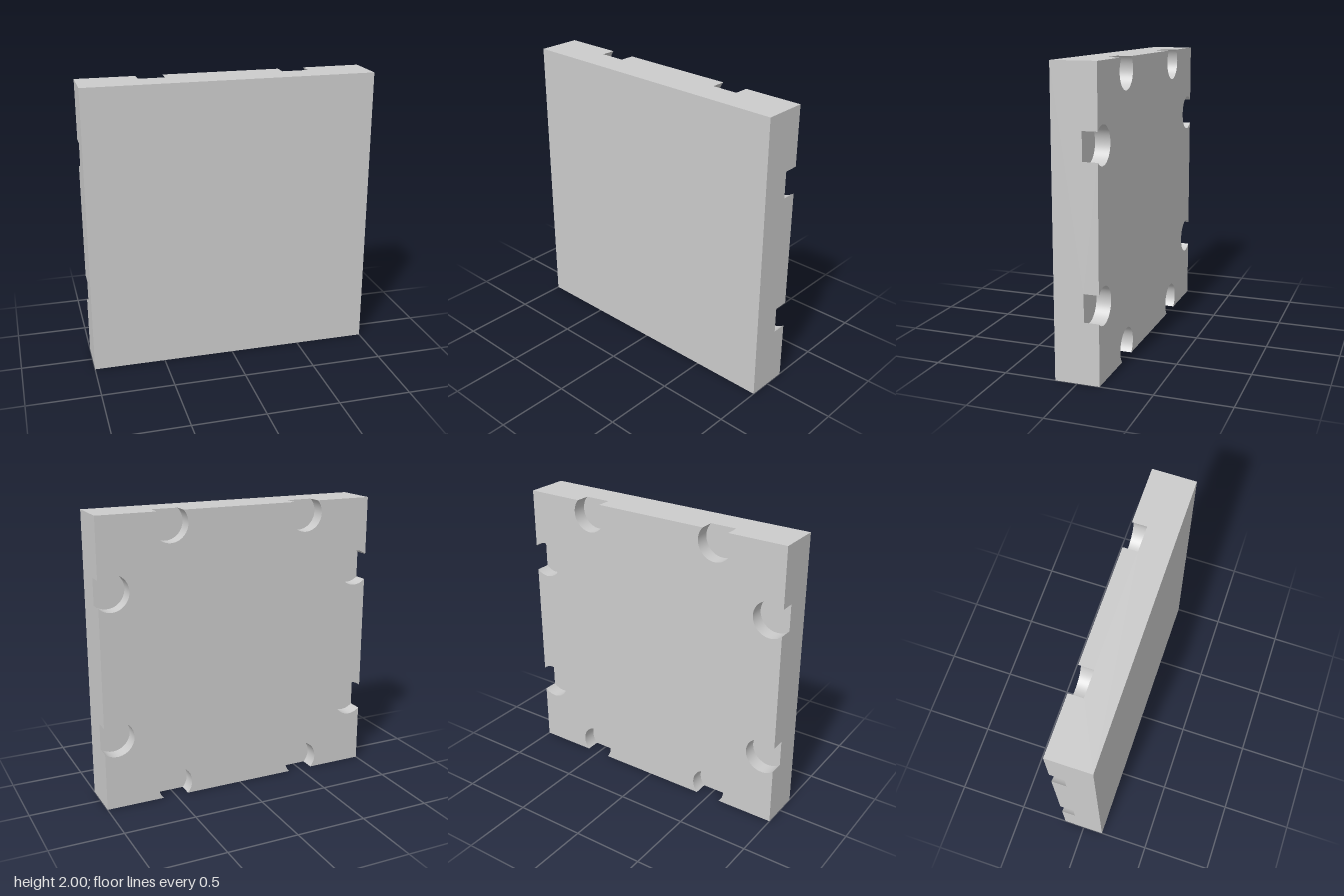
import * as THREE from 'three';
import { mergeGeometries } from 'three/addons/utils/BufferGeometryUtils.js';

const HALF = 1;          // half of the square's side
const BACK = -0.15, FRONT = 0.15;
const FLOOR = -0.05;     // depth of the pocket floors
const R = 0.125;         // pocket radius
const INSET = 0.085;     // pocket centre, measured in from the edge
const CHORD = Math.sqrt(R * R - INSET * INSET); // half width of the edge opening
const BETA = Math.atan2(CHORD, INSET);          // half angle of the opening
const SEG = 40;
const CENTRES = [-0.5, 0.5];

// Pocket arc along the bottom edge, running from left to right
function pocketArc(c) {
  const pts = [];
  for (let i = 0; i <= SEG; i++) {
    const t = 2 * Math.PI - BETA - (i / SEG) * 2 * (Math.PI - BETA);
    pts.push(new THREE.Vector2(c + R * Math.sin(t), -HALF + INSET - R * Math.cos(t)));
  }
  return pts;
}

// Flat shape turned to face the back at depth z
const facingBack = (pts, z) =>
  new THREE.ShapeGeometry(new THREE.Shape(pts)).rotateY(Math.PI).translate(0, 0, z);

// Curved pocket wall with its surface turned inward
function pocketWall(c) {
  const depth = FLOOR - BACK;
  const g = new THREE.CylinderGeometry(R, R, depth, SEG, 1, true, BETA, 2 * (Math.PI - BETA));
  g.rotateX(Math.PI / 2).translate(c, -HALF + INSET, (FLOOR + BACK) / 2);
  g.index.array.reverse();
  const n = g.attributes.normal.array;
  for (let i = 0; i < n.length; i++) n[i] = -n[i];
  return g;
}

// Edge face of the panel with the two pocket openings
function edgeFace() {
  const pts = [[-HALF, BACK]];
  for (const c of CENTRES) {
    pts.push([c - CHORD, BACK], [c - CHORD, FLOOR], [c + CHORD, FLOOR], [c + CHORD, BACK]);
  }
  pts.push([HALF, BACK], [HALF, FRONT], [-HALF, FRONT]);
  const shape = new THREE.Shape(pts.map(([x, y]) => new THREE.Vector2(x, y)));
  return new THREE.ShapeGeometry(shape).rotateX(Math.PI / 2).translate(0, -HALF, 0);
}

export function createModel() {
  const group = new THREE.Group();
  group.name = 'squarePanel';
  const material = new THREE.MeshStandardMaterial({ color: 0xcccccc });
  const add = (name, parts) => {
    const mesh = new THREE.Mesh(mergeGeometries(parts), material);
    mesh.name = name;
    mesh.position.y = HALF;
    group.add(mesh);
  };

  // One side's parts are turned to all four sides
  const outline = [], edges = [], pockets = [];
  const origin = new THREE.Vector2();
  for (let k = 0; k < 4; k++) {
    const turn = k * Math.PI / 2;
    const side = [new THREE.Vector2(-HALF, -HALF), ...CENTRES.flatMap(pocketArc)];
    outline.push(...side.map(p => p.rotateAround(origin, turn)));
    edges.push(edgeFace().rotateZ(turn));
    for (const c of CENTRES) {
      pockets.push(facingBack(pocketArc(c), FLOOR).rotateZ(turn), pocketWall(c).rotateZ(turn));
    }
  }

  add('frontFace', [new THREE.PlaneGeometry(2 * HALF, 2 * HALF).translate(0, 0, FRONT)]);
  add('backFace', [facingBack(outline, BACK)]);
  add('edgeFaces', edges);
  add('edgePockets', pockets);
  return group;
}
